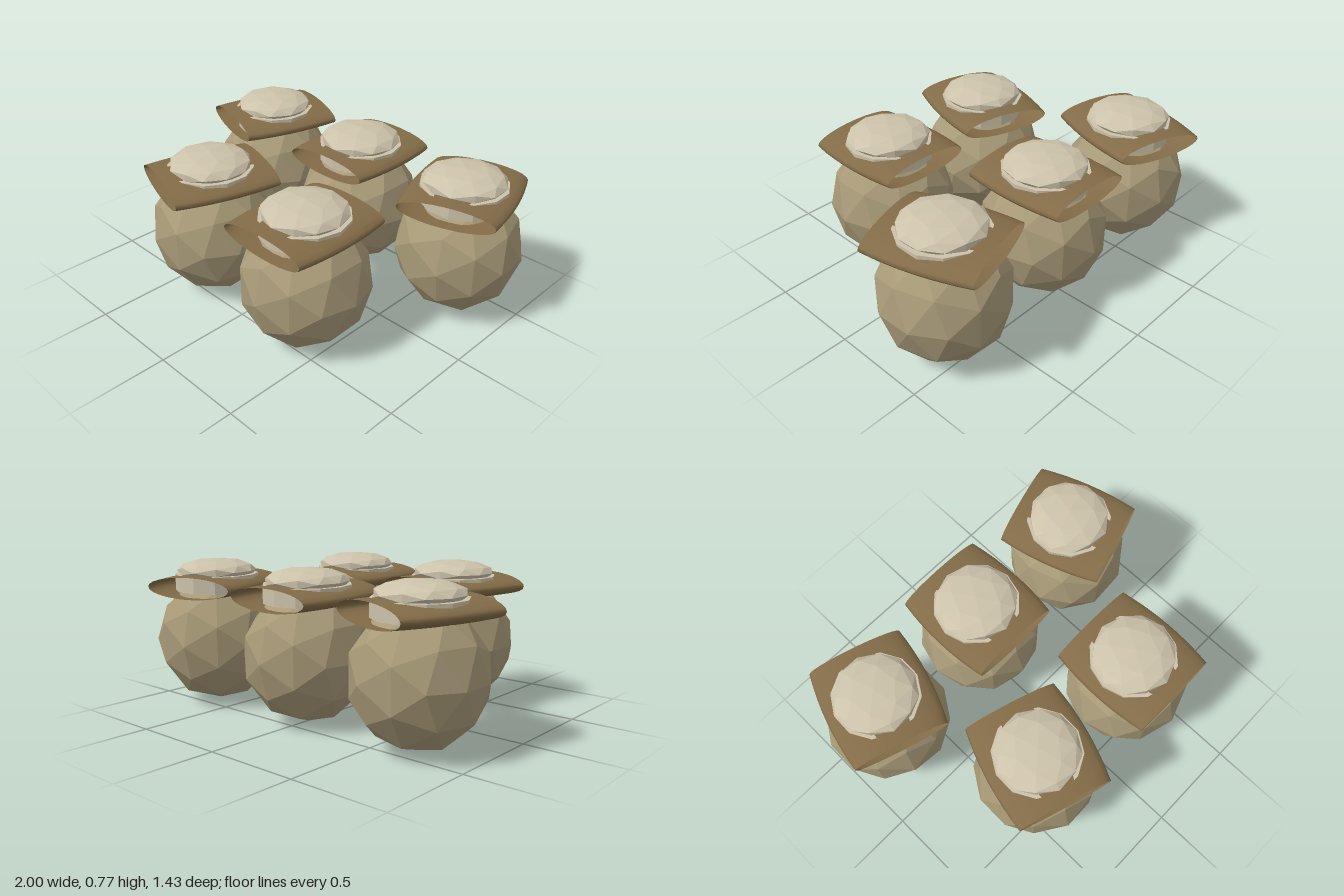
import * as THREE from 'three';

const clay = new THREE.MeshStandardMaterial({ color: 0xa89a78 });
clay.name = 'clay';
clay.flatShading = true;
const cream = new THREE.MeshStandardMaterial({ color: 0xcdc3ab });
cream.name = 'cream';
cream.flatShading = true;
const brown = new THREE.MeshStandardMaterial({ color: 0x836c48, side: THREE.DoubleSide });
brown.name = 'brown';

function add(group, name, geometry, material, y) {
  const mesh = new THREE.Mesh(geometry, material);
  mesh.name = name;
  mesh.position.y = y;
  group.add(mesh);
}

// Flattened open sleeve along z, slightly wider in the middle
function sleeveGeometry() {
  const g = new THREE.CylinderGeometry(1, 1, 0.554, 24, 8, true);
  g.rotateX(Math.PI / 2);
  const p = g.attributes.position;
  for (let i = 0; i < p.count; i++) {
    const t = p.getZ(i) / 0.277;
    p.setX(i, p.getX(i) * (0.27 - 0.024 * t * t));
    p.setY(i, p.getY(i) * (0.061 - 0.004 * t * t));
  }
  g.computeVertexNormals();
  return g;
}

function createJar() {
  const jar = new THREE.Group();
  // Faceted round body
  add(jar, 'body', new THREE.IcosahedronGeometry(0.327, 1).scale(1, 1.046, 1), clay, 0.342);
  // Neck hidden inside the wrap
  add(jar, 'neck', new THREE.CylinderGeometry(0.222, 0.222, 0.09, 12), cream, 0.65);
  // Wrap round the neck, open at front and back
  add(jar, 'wrap', sleeveGeometry(), brown, 0.64);
  // Flattened faceted lid
  add(jar, 'lid', new THREE.IcosahedronGeometry(0.213, 1).scale(1, 0.29, 1), cream, 0.713);
  return jar;
}

export function createModel() {
  const model = new THREE.Group();
  model.name = 'jars';
  // x, z and turn of each jar
  const places = [
    [-0.682, -0.38, -0.3], [0, -0.38, 0], [0.682, -0.38, 0.3],
    [-0.341, 0.378, -0.3], [0.341, 0.378, 0],
  ];
  places.forEach(([x, z, turn], i) => {
    const jar = createJar();
    jar.name = 'jar' + (i + 1);
    jar.position.set(x, 0, z);
    jar.rotation.y = turn;
    model.add(jar);
  });
  return model;
}
